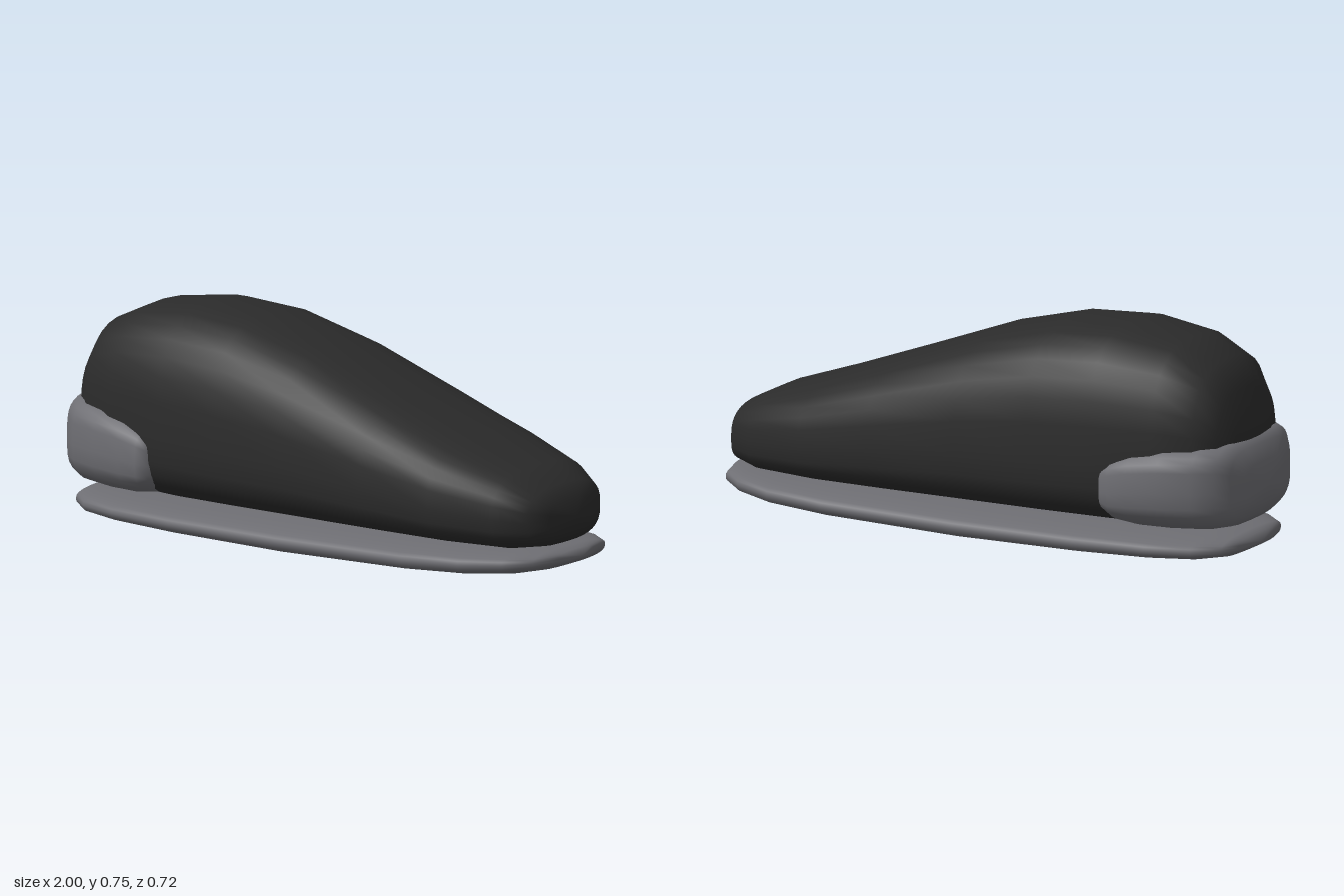
import * as THREE from 'three';

const SEGMENTS = 32;

// Smooth closed loft along x. Section: [x, bottom y, widest y, top y, half width].
// A section with zero width closes the end in a point.
function loft(sections, upperPower, lowerPower) {
  const positions = [], index = [];
  const round = (v, n) => Math.sign(v) * Math.pow(Math.abs(v), 2 / n);
  const first = sections[0], last = sections[sections.length - 1];
  const rings = sections.slice(1, -1);
  for (const [x, low, mid, top, half] of rings) {
    for (let j = 0; j < SEGMENTS; j++) {
      const a = (j / SEGMENTS) * Math.PI * 2;
      const c = Math.cos(a), s = Math.sin(a);
      const n = s >= 0 ? upperPower : lowerPower;
      const height = s >= 0 ? top - mid : mid - low;
      positions.push(x, mid + height * round(s, n), half * round(c, n));
    }
  }
  const start = rings.length * SEGMENTS, end = start + 1;
  positions.push(first[0], first[2], 0, last[0], last[2], 0);
  for (let j = 0; j < SEGMENTS; j++) {
    const k = (j + 1) % SEGMENTS;
    for (let i = 0; i < rings.length - 1; i++) {
      const a = i * SEGMENTS + j, b = i * SEGMENTS + k;
      const c = a + SEGMENTS, d = b + SEGMENTS;
      index.push(a, c, b, b, c, d);
    }
    const base = (rings.length - 1) * SEGMENTS;
    index.push(start, j, k, end, base + k, base + j);
  }
  const geometry = new THREE.BufferGeometry();
  geometry.setAttribute('position', new THREE.Float32BufferAttribute(positions, 3));
  geometry.setIndex(index);
  geometry.computeVertexNormals();
  return geometry;
}

export function createModel() {
  const black = new THREE.MeshStandardMaterial({ color: 0x2b2b2b });
  black.name = 'black upper';
  const grey = new THREE.MeshStandardMaterial({ color: 0x6e6e73 });
  grey.name = 'grey rubber';
  const group = new THREE.Group();
  group.name = 'shoe';
  const add = (name, geometry, material) => {
    const mesh = new THREE.Mesh(geometry, material);
    mesh.name = name;
    group.add(mesh);
  };

  // Upper: tall rounded heel end sloping down to the toe
  add('upper', loft([
    [-0.95, 0, 0.36, 0, 0],
    [-0.935, 0.2, 0.35, 0.46, 0.13],
    [-0.91, 0.15, 0.35, 0.57, 0.2],
    [-0.85, 0.12, 0.34, 0.66, 0.255],
    [-0.72, 0.105, 0.33, 0.72, 0.305],
    [-0.5, 0.1, 0.32, 0.75, 0.335],
    [-0.27, 0.1, 0.31, 0.735, 0.345],
    [0, 0.1, 0.3, 0.665, 0.348],
    [0.33, 0.1, 0.27, 0.54, 0.342],
    [0.6, 0.1, 0.24, 0.44, 0.325],
    [0.82, 0.1, 0.22, 0.365, 0.265],
    [0.92, 0.115, 0.21, 0.315, 0.2],
    [0.95, 0.15, 0.21, 0.265, 0.12],
    [0.975, 0, 0.21, 0, 0],
  ], 2.8, 3), black);

  // Heel counter: cup wrapping the back, its front end sinking into the upper
  add('heelCounter', loft([
    [-1, 0, 0.26, 0, 0],
    [-0.985, 0.19, 0.26, 0.33, 0.12],
    [-0.965, 0.15, 0.26, 0.385, 0.2],
    [-0.93, 0.12, 0.26, 0.412, 0.25],
    [-0.87, 0.108, 0.26, 0.417, 0.3],
    [-0.76, 0.104, 0.26, 0.412, 0.34],
    [-0.65, 0.104, 0.25, 0.395, 0.351],
    [-0.58, 0.115, 0.24, 0.37, 0.349],
    [-0.545, 0.14, 0.24, 0.345, 0.338],
    [-0.53, 0.17, 0.24, 0.31, 0.3],
    [-0.52, 0, 0.24, 0, 0],
  ], 4.2, 3), grey);

  // Sole: thin rounded slab curling up slightly at the toe
  add('sole', loft([
    [-0.975, 0, 0.055, 0, 0],
    [-0.955, 0.036, 0.056, 0.08, 0.13],
    [-0.93, 0.024, 0.056, 0.09, 0.2],
    [-0.85, 0.015, 0.055, 0.096, 0.27],
    [-0.7, 0.01, 0.055, 0.1, 0.318],
    [-0.45, 0.005, 0.055, 0.102, 0.347],
    [0, 0, 0.055, 0.104, 0.36],
    [0.5, 0.008, 0.06, 0.108, 0.35],
    [0.72, 0.016, 0.066, 0.11, 0.32],
    [0.86, 0.028, 0.072, 0.111, 0.265],
    [0.94, 0.044, 0.078, 0.108, 0.2],
    [0.97, 0.058, 0.08, 0.1, 0.1],
    [1, 0, 0.08, 0, 0],
  ], 2.6, 2.9), grey);

  return group;
}
